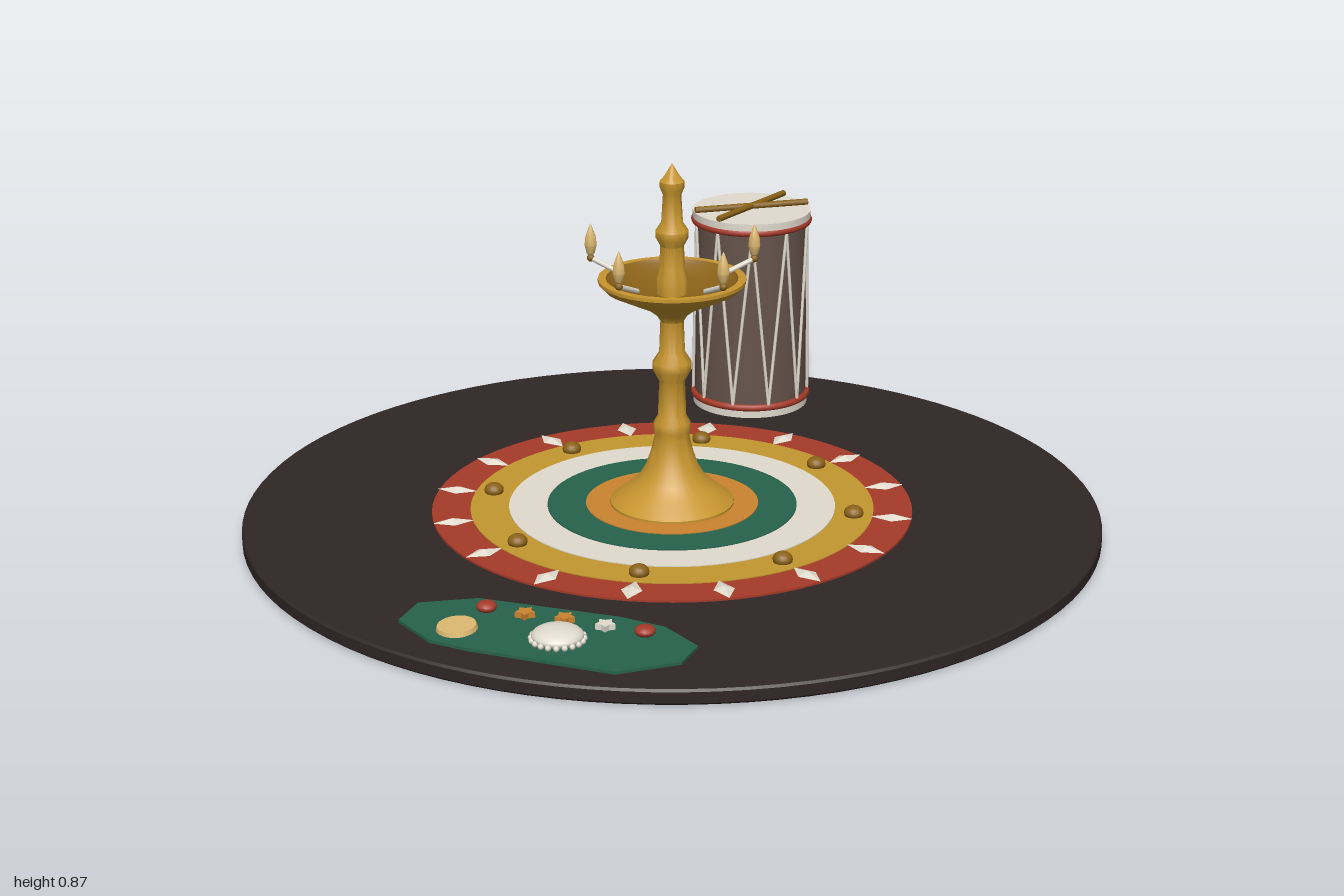
import * as THREE from 'three';
import { toCreasedNormals } from 'three/addons/utils/BufferGeometryUtils.js';

const paint = (name, color) => {
  const m = new THREE.MeshStandardMaterial({ color });
  m.name = name;
  return m;
};

export function createModel() {
  const root = new THREE.Group();
  root.name = 'festivalTable';
  const dark = paint('darkWood', 0x302626);
  const red = paint('red', 0xa63a28);
  const yellow = paint('marigold', 0xc4982f);
  const cream = paint('cream', 0xe2dccf);
  const green = paint('green', 0x26634c);
  const orange = paint('orange', 0xcc8430);
  const brass = paint('brass', 0xc8962e);
  const bronze = paint('bronze', 0x8a6218);
  const tan = paint('flame', 0xdcb870);
  const brown = paint('drumWood', 0x66534b);

  const add = (parent, name, geo, mat, x = 0, y = 0, z = 0) => {
    const m = new THREE.Mesh(geo, mat);
    m.name = name;
    m.position.set(x, y, z);
    parent.add(m);
    return m;
  };
  const group = (name, x = 0, y = 0, z = 0) => {
    const g = new THREE.Group();
    g.name = name;
    g.position.set(x, y, z);
    root.add(g);
    return g;
  };
  const lathe = (pts, seg = 32) =>
    toCreasedNormals(new THREE.LatheGeometry(pts.map(p => new THREE.Vector2(...p)), seg), 0.6);
  // thin round bar between two points
  const bar = (parent, name, a, b, r, mat) => {
    const va = new THREE.Vector3(...a), d = new THREE.Vector3(...b).sub(va);
    const m = add(parent, name, new THREE.CylinderGeometry(r, r, d.length(), 8), mat);
    m.position.copy(va).addScaledVector(d, 0.5);
    m.quaternion.setFromUnitVectors(new THREE.Vector3(0, 1, 0), d.normalize());
    return m;
  };

  // Round table top
  add(root, 'tableTop', lathe([[0, 0], [0.993, 0], [1, 0.006], [1, 0.031], [0.995, 0.036], [0, 0.036]], 96), dark);

  // Concentric coloured rings, stepping up slightly to the centre
  [[0.562, red], [0.472, yellow], [0.382, cream], [0.292, green], [0.202, orange]].forEach(([r, mat], i) => {
    const top = 0.041 + i * 0.0022;
    add(root, 'ring' + (i + 1), new THREE.CylinderGeometry(r, r, top - 0.034, 72), mat, 0, (top + 0.034) / 2);
  });

  // Petals and beads around the rings
  const petals = group('petals');
  for (let i = 0; i < 16; i++) {
    const a = i * Math.PI / 8;
    const p = add(petals, 'petal', new THREE.OctahedronGeometry(1, 0), cream, 0.517 * Math.sin(a), 0.043, 0.517 * Math.cos(a));
    p.scale.set(0.024, 0.009, 0.049);
    p.rotation.y = a;
  }
  const beads = group('beads');
  for (let i = 0; i < 8; i++) {
    const a = i * Math.PI / 4;
    const b = add(beads, 'bead', new THREE.SphereGeometry(0.023, 16, 10), bronze, 0.428 * Math.sin(a), 0.05, 0.428 * Math.cos(a));
    b.scale.y = 0.75;
  }

  // Standing oil lamp
  const lamp = group('lamp');
  add(lamp, 'lampStand', lathe([
    [0, 0.045], [0.145, 0.045], [0.145, 0.055], [0.125, 0.072], [0.105, 0.088], [0.08, 0.11], [0.062, 0.14],
    [0.05, 0.175], [0.04, 0.215], [0.043, 0.228], [0.043, 0.248], [0.033, 0.265], [0.03, 0.35],
    [0.045, 0.378], [0.045, 0.396], [0.03, 0.42], [0.027, 0.495], [0.036, 0.51], [0.06, 0.528],
    [0.11, 0.552], [0.155, 0.574], [0.17, 0.59], [0.17, 0.598], [0.152, 0.598],
  ]), brass);
  add(lamp, 'dishInside', lathe([[0.152, 0.598], [0.145, 0.59], [0.1, 0.572], [0.06, 0.563], [0, 0.56]]), bronze);
  add(lamp, 'finial', lathe([
    [0.036, 0.56], [0.036, 0.6], [0.03, 0.62], [0.027, 0.675], [0.038, 0.695], [0.038, 0.71], [0.025, 0.73],
    [0.021, 0.795], [0.028, 0.812], [0.028, 0.826], [0.018, 0.838], [0, 0.868],
  ], 24), brass);
  // Five wicks with flames
  const flame = lathe([[0, 0], [0.009, 0.01], [0.014, 0.03], [0.012, 0.05], [0.005, 0.07], [0, 0.082]], 12);
  for (let i = 0; i < 5; i++) {
    const a = i * Math.PI * 2 / 5, s = Math.sin(a), c = Math.cos(a);
    bar(lamp, 'wick', [0.13 * s, 0.598, 0.13 * c], [0.198 * s, 0.626, 0.198 * c], 0.006, cream);
    add(lamp, 'wickTip', new THREE.SphereGeometry(0.009, 10, 8), bronze, 0.198 * s, 0.626, 0.198 * c);
    add(lamp, 'flame', flame, tan, 0.198 * s, 0.627, 0.198 * c);
  }

  // Laced drum
  const drum = group('drum', 0.6, 0, -0.5);
  add(drum, 'drumBody', new THREE.CylinderGeometry(0.143, 0.143, 0.48, 40), brown, 0, 0.29);
  add(drum, 'drumBottomSkin', new THREE.CylinderGeometry(0.147, 0.147, 0.02, 40), cream, 0, 0.046);
  add(drum, 'drumTopSkin', new THREE.CylinderGeometry(0.15, 0.15, 0.022, 40), cream, 0, 0.538);
  for (const y of [0.062, 0.524]) {
    const hoop = add(drum, 'hoop', new THREE.TorusGeometry(0.145, 0.009, 8, 40), red, 0, y);
    hoop.rotation.x = Math.PI / 2;
  }
  for (let i = 0; i < 20; i++) {
    const at = k => [0.147 * Math.sin(k * Math.PI / 10), k % 2 ? 0.068 : 0.52, 0.147 * Math.cos(k * Math.PI / 10)];
    bar(drum, 'lace', at(i), at(i + 1), 0.004, cream);
  }
  for (const s of [-1, 1]) {
    bar(drum, 'drumstick', [-0.14, 0.556, s * 0.05], [0.14, 0.556, -s * 0.05], 0.008, bronze);
  }

  // Green leaf mat
  const outline = [[-0.86, 0.21], [-0.78, 0.155], [-0.66, 0.21], [-0.465, 0.47], [-0.417, 0.567], [-0.417, 0.685],
    [-0.49, 0.73], [-0.63, 0.69], [-0.815, 0.42], [-0.86, 0.335]];
  const matShape = new THREE.Shape(outline.map(([x, z]) => new THREE.Vector2(x, -z)));
  const leaf = add(root, 'leafMat', new THREE.ExtrudeGeometry(matShape, { depth: 0.008, bevelEnabled: false }), green, 0, 0.035);
  leaf.rotation.x = -Math.PI / 2;

  // Offerings laid on the mat
  const food = group('offerings');
  const cake = add(food, 'flatCake', new THREE.CylinderGeometry(0.042, 0.045, 0.01, 24), tan, -0.785, 0.05, 0.325);
  cake.rotation.z = 0.08;
  const mound = add(food, 'riceMound', new THREE.SphereGeometry(0.056, 24, 14), cream, -0.645, 0.058, 0.5);
  mound.scale.y = 0.36;
  for (let i = 0; i < 20; i++) {
    const a = i * Math.PI / 10;
    add(food, 'riceGrain', new THREE.SphereGeometry(0.007, 8, 6), cream, -0.645 + 0.056 * Math.sin(a), 0.052, 0.5 + 0.056 * Math.cos(a));
  }
  for (const [x, z] of [[-0.68, 0.275], [-0.475, 0.575]]) {
    add(food, 'redBerry', new THREE.SphereGeometry(0.023, 14, 10), red, x, 0.052, z).scale.y = 0.55;
  }
  const star = new THREE.Shape();
  for (let i = 0; i < 10; i++) {
    const r = i % 2 ? 0.014 : 0.023, a = i * Math.PI / 5;
    star[i ? 'lineTo' : 'moveTo'](r * Math.sin(a), r * Math.cos(a));
  }
  const starGeo = new THREE.ExtrudeGeometry(star, { depth: 0.014, bevelEnabled: false });
  for (const [x, z, mat] of [[-0.63, 0.35, orange], [-0.575, 0.42, orange], [-0.525, 0.5, cream]]) {
    add(food, 'starFlower', starGeo, mat, x, 0.042, z).rotation.x = -Math.PI / 2;
  }
  return root;
}
